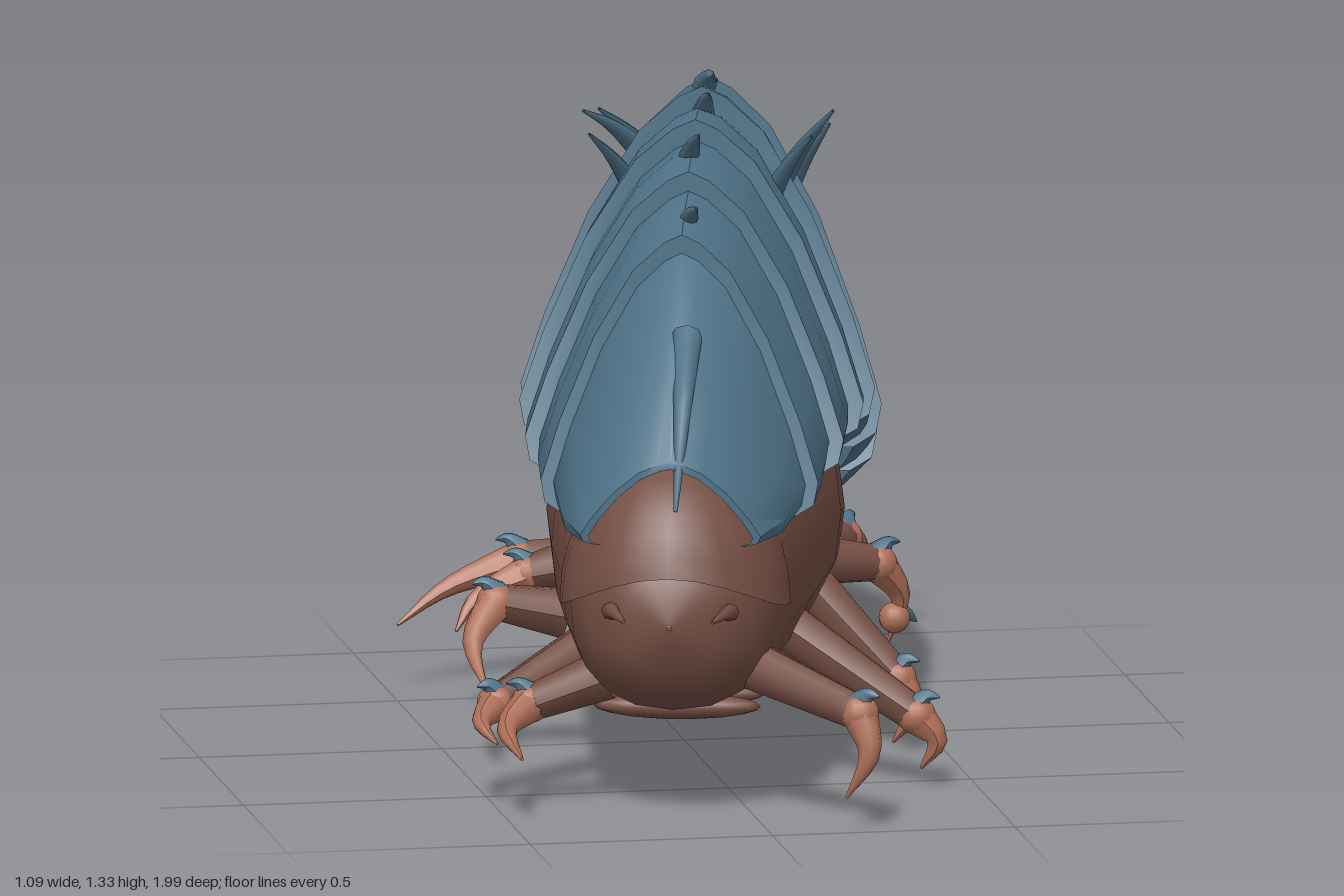
import * as THREE from 'three';
import { toCreasedNormals } from 'three/addons/utils/BufferGeometryUtils.js';

const V = (x, y, z) => new THREE.Vector3(x, y, z);
const YAW = -0.24;
// Body frame: u sideways, y up, z along the slanting spine
const place = (u, y, z) => V(0.02 - 0.24 * z + 0.97 * u, y, z + 0.24 * u);

// Skin a list of point rings
function loft(rings, closed) {
  const n = rings[0].length, pos = [], idx = [];
  rings.forEach(r => r.forEach(p => pos.push(p.x, p.y, p.z)));
  for (let i = 0; i < rings.length - 1; i++) {
    for (let j = 0; j < (closed ? n : n - 1); j++) {
      const k = (j + 1) % n;
      const a = i * n + j, b = i * n + k, c = a + n, d = b + n;
      idx.push(a, c, b, b, c, d);
    }
  }
  const g = new THREE.BufferGeometry();
  g.setAttribute('position', new THREE.Float32BufferAttribute(pos, 3));
  g.setIndex(idx);
  g.computeVertexNormals();
  return g;
}

// Tube along a curve whose radius shrinks from r0 to r1
function taper(points, r0, r1, sides = 8) {
  const curve = new THREE.CatmullRomCurve3(points), n = 8;
  const g = new THREE.TubeGeometry(curve, n, r0, sides);
  const p = g.attributes.position, v = V(0, 0, 0);
  for (let i = 0; i <= n; i++) {
    const c = curve.getPointAt(i / n), s = 1 + (r1 / r0 - 1) * i / n;
    for (let j = 0; j <= sides; j++) {
      const k = i * (sides + 1) + j;
      v.fromBufferAttribute(p, k).sub(c).multiplyScalar(s).add(c);
      p.setXYZ(k, v.x, v.y, v.z);
    }
  }
  g.computeVertexNormals();
  return g;
}

export function createModel() {
  const model = new THREE.Group();
  const mat = (name, color) => {
    const m = new THREE.MeshStandardMaterial({ color, side: THREE.DoubleSide });
    m.name = name;
    return m;
  };
  const blue = mat('shellBlue', 0x50748a);
  const brown = mat('bodyBrown', 0x744e43);
  const tan = mat('clawTan', 0xb07058);
  const add = (name, geo, material, parent = model) => {
    const m = new THREE.Mesh(geo, material);
    m.name = name;
    parent.add(m);
    return m;
  };
  const ball = (name, p, sx, sy, sz, material, parent) => {
    const m = add(name, new THREE.SphereGeometry(1, 14, 10), material, parent);
    m.position.copy(p);
    m.scale.set(sx, sy, sz);
    m.rotation.y = YAW;
    return m;
  };

  // Soft body: [z, centre y, half width, half height], tail to head
  const sections = [
    [0.89, 0.42, 0.005, 0.005], [0.875, 0.42, 0.1, 0.1], [0.82, 0.43, 0.17, 0.17],
    [0.74, 0.45, 0.21, 0.23], [0.6, 0.47, 0.235, 0.27], [0.35, 0.48, 0.27, 0.28],
    [0, 0.48, 0.3, 0.28], [-0.3, 0.43, 0.29, 0.25], [-0.5, 0.37, 0.26, 0.21],
    [-0.65, 0.29, 0.22, 0.18], [-0.78, 0.21, 0.17, 0.14], [-0.86, 0.14, 0.12, 0.09],
    [-0.9, 0.11, 0.06, 0.05], [-0.91, 0.1, 0.004, 0.004],
  ];
  add('body', loft(sections.map(([z, y, w, h]) => {
    const ring = [];
    for (let j = 0; j < 20; j++) {
      const a = j / 20 * Math.PI * 2, c = Math.cos(a), s = Math.sin(a);
      ring.push(place(w * Math.sign(c) * Math.abs(c) ** 0.85, y + h * Math.sign(s) * Math.abs(s) ** 0.85, z));
    }
    return ring;
  }), true), brown);

  // Raised lobe over the tail, its rim arching up at the end
  const dome = new THREE.SphereGeometry(1, 24, 8, 0, Math.PI * 2, 0, Math.PI / 2);
  const dp = dome.attributes.position;
  for (let i = 0; i < dp.count; i++) {
    const a = Math.atan2(dp.getZ(i), dp.getX(i));
    const rim = 0.3 * Math.max(0, Math.sin(a)) ** 2;
    const y = Math.min(1, rim + (1 - rim) * dp.getY(i)), r = Math.sqrt(1 - y * y);
    dp.setXYZ(i, r * Math.cos(a), y, r * Math.sin(a));
  }
  dome.computeVertexNormals();
  const lobe = add('tailLobe', dome, brown);
  lobe.position.copy(place(0, 0.43, 0.665));
  lobe.scale.set(0.235, 0.31, 0.255);
  lobe.rotation.y = YAW;

  // Overlapping shell plates: hoops of [base z, base y, apex z, apex y, half width]
  const seams = [
    [0.84, 0.58, 0.86, 0.75, 0.18], [0.53, 0.58, 0.43, 1.12, 0.27],
    [0.36, 0.63, 0.19, 1.2, 0.31], [0.11, 0.65, -0.06, 1.255, 0.335],
    [-0.12, 0.63, -0.29, 1.275, 0.345], [-0.36, 0.54, -0.55, 1.24, 0.345],
    [-0.56, 0.45, -0.79, 1.08, 0.325], [-0.95, 0.25, -0.99, 0.36, 0.105],
  ];
  // Extra hoops that round off the tail and head plates
  const between = {
    0: [[0.71, 0.57, 0.74, 0.91, 0.225]],
    6: [[-0.74, 0.36, -0.9, 0.96, 0.27], [-0.88, 0.29, -0.98, 0.75, 0.19]],
  };
  const half = [[0.84, 0], [0.97, 0.04], [1, 0.12], [0.87, 0.33], [0.63, 0.63], [0.35, 0.87], [0.13, 0.97]];
  const arch = [...half, [0, 1], ...half.slice().reverse().map(([u, t]) => [-u, t])];
  const hoopRing = ([bz, by, az, ay, w], wide, high) => arch.map(([u, t]) =>
    place(u * w * wide, by + (ay - by) * t * high, bz + (az - bz) * t));
  for (let i = 0; i < 7; i++) {
    const a = seams[i], b = seams[i + 1];
    const mids = between[i] || [a.map((v, k) => (v + b[k]) / 2)];
    const rings = [hoopRing(a, 0.93, 0.95), hoopRing(a, i ? 1.045 : 1.02, 1.035),
      ...mids.map(m => hoopRing(m, 1.01, 1.02)), hoopRing(b, i === 6 ? 1 : 0.95, i === 6 ? 1 : 0.965)];
    add('shellPlate' + (i + 1), toCreasedNormals(loft(rings, false), 0.7), blue);
  }

  // Shell spines: base then tip
  const spines = [
    [-0.05, 1.13, 0.3, -0.06, 1.2, 0.47],
    [0, 1.21, 0.04, -0.01, 1.3, 0.22], [0.08, 1.25, -0.23, 0.06, 1.33, -0.05],
    [0.12, 1.27, -0.43, 0.11, 1.32, -0.28], [0.17, 1.19, -0.62, 0.165, 1.26, -0.54],
    [0.24, 0.93, -0.9, 0.245, 0.79, -0.99],
    [0.2, 1.08, -0.16, 0.25, 1.26, 0.07], [0.27, 1.06, -0.42, 0.34, 1.26, -0.18],
    [0.32, 0.95, -0.69, 0.38, 1.18, -0.44],
    [-0.06, 1.1, -0.21, -0.19, 1.26, -0.03], [0, 1.13, -0.48, -0.15, 1.25, -0.32],
    [0.08, 1.05, -0.74, -0.07, 1.2, -0.58],
  ];
  spines.forEach(([x, y, z, X, Y, Z], i) => {
    const mid = V((x + X) / 2, (y + Y) / 2 + 0.01, (z + Z) / 2);
    add('shellSpine' + (i + 1), taper([V(x, y, z), mid, V(X, Y, Z)], 0.025, 0.003), blue);
  });
  add('tailSpine', taper([V(-0.11, 0.97, 0.63), V(-0.15, 0.85, 0.8), V(-0.18, 0.66, 0.89)], 0.032, 0.004), blue);

  // Legs: hip, knee, claw tip
  const legs = [
    [0, 0.31, 0.74, 0.19, 0.24, 0.94, 0.16, 0.07, 0.96],
    [0.12, 0.33, 0.4, 0.38, 0.15, 0.54, 0.39, 0.04, 0.54],
    [0.24, 0.34, 0.04, 0.41, 0.15, 0.16, 0.4, 0.02, 0.17],
    [0.3, 0.32, -0.24, 0.45, 0.3, -0.28, 0.48, 0.13, -0.32],
    [0.36, 0.31, -0.42, 0.42, 0.31, -0.5, 0.49, 0.21, -0.67],
    [-0.28, 0.28, 0.65, -0.43, 0.22, 0.62, -0.48, 0.14, 0.8],
    [-0.28, 0.28, 0.4, -0.48, 0.2, 0.51, -0.5, 0.14, 0.63],
    [-0.27, 0.3, 0.11, -0.41, 0.33, 0.12, -0.46, 0.18, 0.29],
    [-0.16, 0.3, -0.38, -0.25, 0.28, -0.4, -0.41, 0.18, -0.33],
    [-0.03, 0.26, -0.62, -0.22, 0.26, -0.65, -0.48, 0.14, -0.61],
  ];
  const nail = (from, to, parent) =>
    add('nail', taper([from, from.clone().lerp(to, 0.5).add(V(0, 0.012, 0)), to], 0.029, 0.002, 6), blue, parent);
  legs.forEach((l, i) => {
    const leg = new THREE.Group();
    leg.name = 'leg' + (i + 1);
    model.add(leg);
    const hip = V(l[0], l[1], l[2]), knee = V(l[3], l[4], l[5]), tip = V(l[6], l[7], l[8]);
    const out = knee.clone().sub(hip).setY(0).normalize();
    add('thigh', taper([hip, hip.clone().lerp(knee, 0.5), knee], 0.052, 0.037, 10), brown, leg);
    ball('knee', knee, 0.04, 0.04, 0.04, tan, leg);
    const bend = knee.clone().lerp(tip, 0.45).addScaledVector(out, 0.04);
    add('claw', taper([knee, bend, tip], 0.039, 0.003), tan, leg);
    nail(knee.clone().add(V(0, 0.02, 0)), knee.clone().addScaledVector(out, 0.05).add(V(0, 0.04, 0)), leg);
    // Second joint on the curled leg
    if (i === 3) {
      ball('ankle', V(0.49, 0.18, -0.31), 0.032, 0.032, 0.032, tan, leg);
      nail(V(0.49, 0.18, -0.32), V(0.545, 0.16, -0.36), leg);
    }
  });

  // Belly ribs
  for (let i = 0; i < 9; i++) {
    const z = 0.6 - i * 0.13;
    ball('bellyRib' + (i + 1), place(0, z < -0.2 ? 0.175 : 0.2, z), 0.17, 0.027, 0.035, brown);
  }

  // Paired face and tail details
  for (const s of [1, -1]) {
    ball('eye', place(s * 0.18, 0.26, -0.74), 0.03, 0.03, 0.03, brown);
    add('mandible', taper([place(s * 0.1, 0.1, -0.79), place(s * 0.11, 0.05, -0.85), place(s * 0.03, 0.01, -0.9)], 0.035, 0.005), brown);
    add('feeler', taper([place(s * 0.13, 0.13, -0.72), place(s * 0.14, 0.07, -0.78), place(s * 0.09, 0.03, -0.83)], 0.025, 0.004), brown);
    add('tailThorn', taper([place(s * 0.12, 0.44, 0.82), place(s * 0.115, 0.45, 0.88), place(s * 0.09, 0.44, 0.93)], 0.025, 0.004), brown);
  }
  ball('snout', place(0, 0.13, -0.885), 0.045, 0.04, 0.035, brown);
  return model;
}
